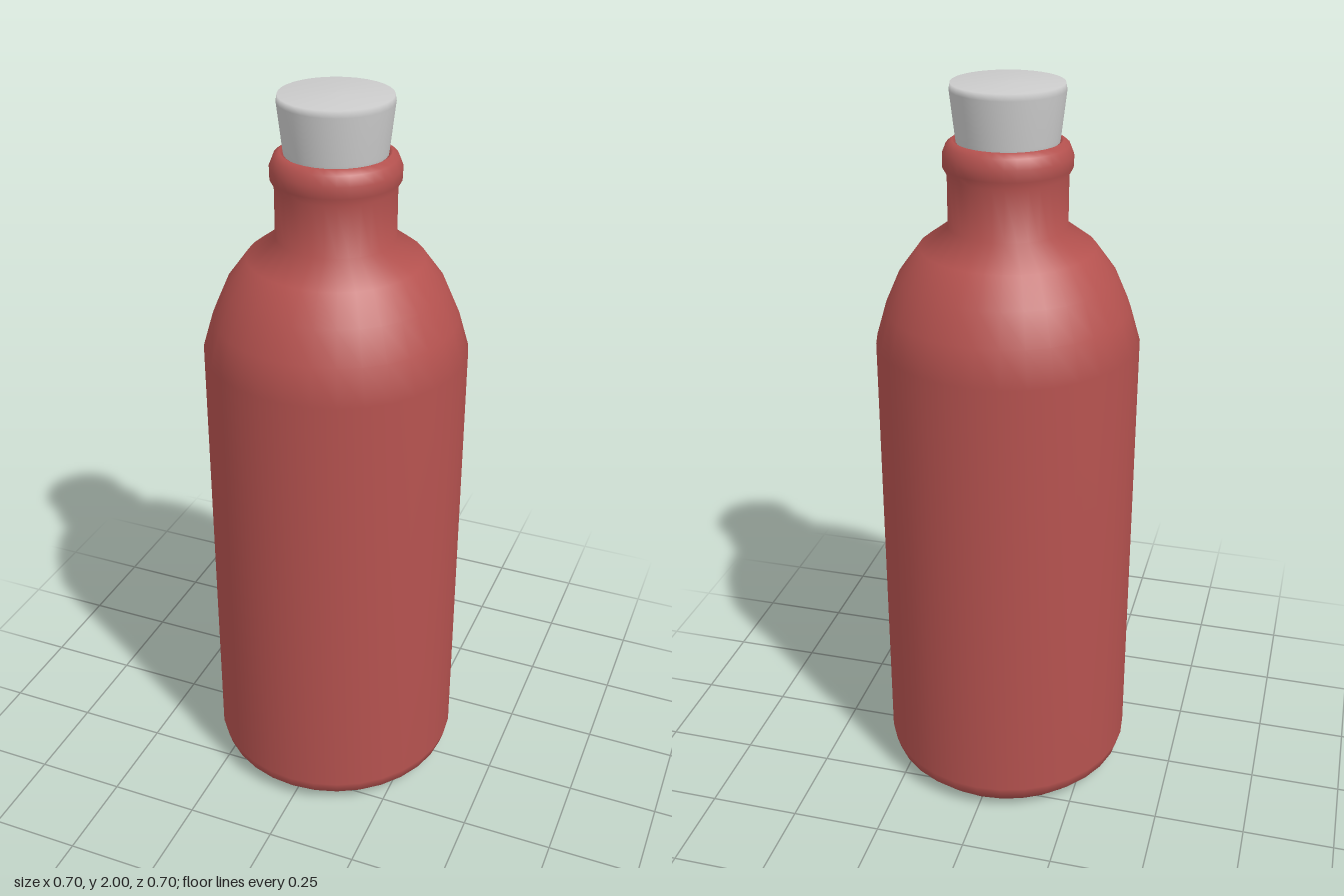
import * as THREE from 'three';

const SIDES = 32;

// Turned part from [radius, height] pairs, listed from the bottom up
function turned(name, profile, material) {
  const points = profile.map(([r, y]) => new THREE.Vector2(r, y));
  const mesh = new THREE.Mesh(new THREE.LatheGeometry(points, SIDES), material);
  mesh.name = name;
  return mesh;
}

export function createModel() {
  const group = new THREE.Group();
  group.name = 'corkedBottle';

  const glass = new THREE.MeshStandardMaterial({ color: 0xb5524f });
  const cork = new THREE.MeshStandardMaterial({ color: 0xcccccc });

  // Bottle: base, straight wall, rounded shoulder, neck, rolled lip and inner mouth
  group.add(turned('bottle', [
    [0, 0], [0.3, 0.005], [0.34, 0.045], [0.35, 0.08],
    [0.35, 1.325], [0.322, 1.42], [0.285, 1.505], [0.23, 1.58], [0.155, 1.635],
    [0.155, 1.77], [0.166, 1.79], [0.166, 1.82], [0.156, 1.845], [0.14, 1.857],
    [0.128, 1.85], [0.124, 1.78],
  ], glass));

  // Tapered stopper with a softened top edge
  group.add(turned('stopper', [
    [0, 1.79], [0.123, 1.79], [0.132, 1.86], [0.146, 1.98], [0.143, 1.997], [0, 2],
  ], cork));

  return group;
}
